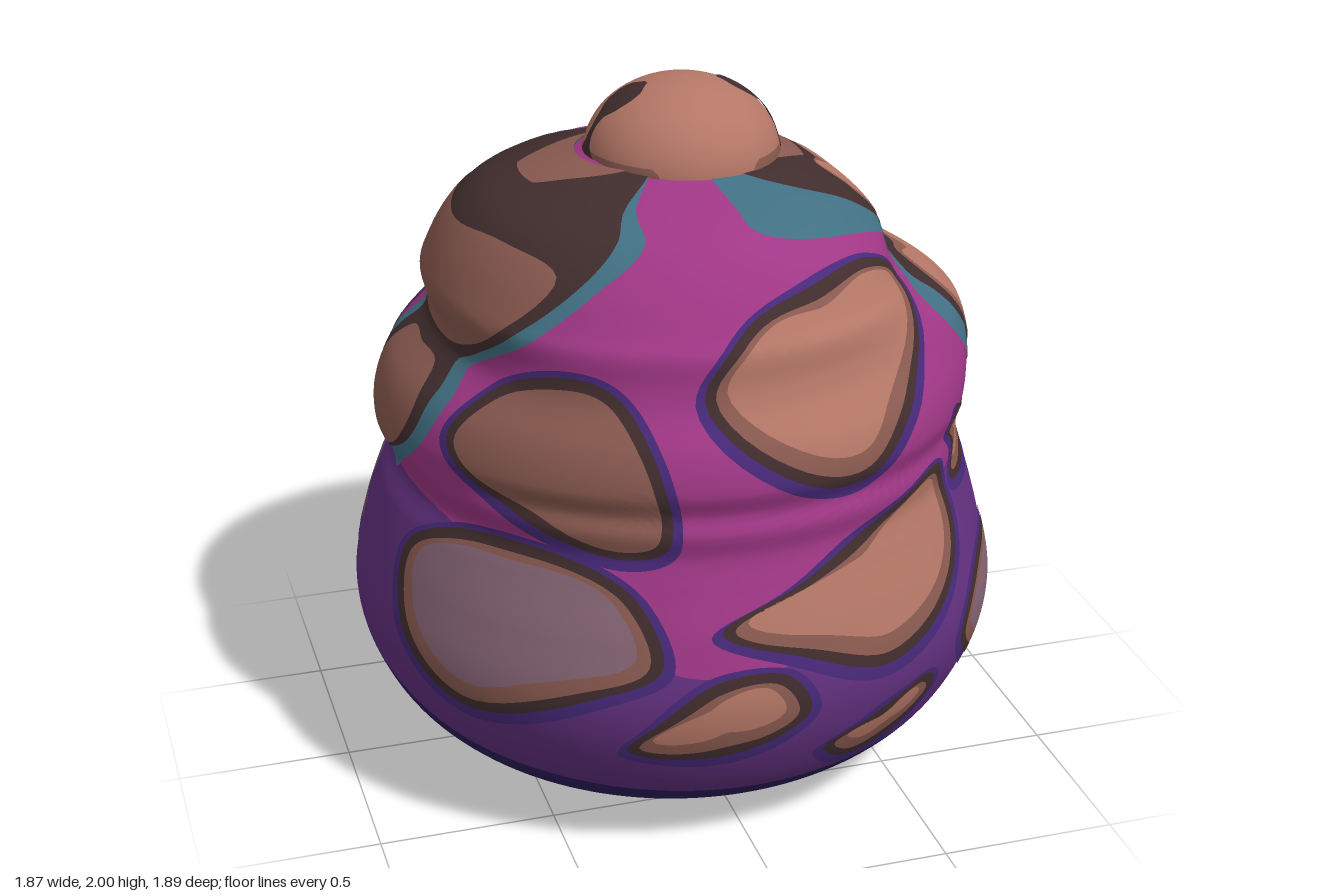
import * as THREE from 'three';

const colours = {
  tan: 0xb47766, brown: 0x8a5a50, darkBrown: 0x412d2e, mauve: 0x866575, magenta: 0xa03786,
  purple: 0x62307f, violet: 0x47297a, navy: 0x2a1d59, teal: 0x417083, darkTeal: 0x2c5056,
};
const RAD = Math.PI / 180;
const UNIT = 0.0148; // surface length of one degree, roughly

// Smooth interpolation through rows of [key, value, ...]
function lookup(rows, col = 1) {
  const slope = (i) => {
    const a = rows[Math.max(i - 1, 0)], b = rows[Math.min(i + 1, rows.length - 1)];
    return (b[col] - a[col]) / (b[0] - a[0]);
  };
  return (x) => {
    let i = 0;
    while (i < rows.length - 2 && x > rows[i + 1][0]) i++;
    const h = rows[i + 1][0] - rows[i][0];
    const t = THREE.MathUtils.clamp((x - rows[i][0]) / h, 0, 1), t2 = t * t, t3 = t2 * t;
    return (2 * t3 - 3 * t2 + 1) * rows[i][col] + (t3 - 2 * t2 + t) * h * slope(i)
      + (3 * t2 - 2 * t3) * rows[i + 1][col] + (t3 - t2) * h * slope(i + 1);
  };
}

// Body outline: height, then radius toward front/back, left (+x), right (-x)
const outline = [
  [0, 0.24, 0.24, 0.24], [0.02, 0.42, 0.42, 0.42], [0.06, 0.61, 0.61, 0.61], [0.18, 0.79, 0.79, 0.79],
  [0.35, 0.9, 0.9, 0.9], [0.52, 0.938, 0.935, 0.935], [0.7, 0.905, 0.9, 0.9], [0.85, 0.855, 0.86, 0.85],
  [0.93, 0.833, 0.83, 0.81], [1.0, 0.842, 0.81, 0.83], [1.05, 0.826, 0.825, 0.85], [1.12, 0.845, 0.845, 0.845],
  [1.22, 0.82, 0.853, 0.8], [1.32, 0.76, 0.83, 0.69], [1.38, 0.74, 0.77, 0.68], [1.46, 0.73, 0.63, 0.7],
  [1.5, 0.7, 0.585, 0.695], [1.6, 0.63, 0.56, 0.65], [1.68, 0.55, 0.48, 0.59], [1.72, 0.48, 0.42, 0.53],
  [1.77, 0.34, 0.34, 0.38], [1.8, 0.22, 0.25, 0.25],
];
const [front, left, right] = [1, 2, 3].map((c) => lookup(outline, c));

// Surfaces: angle in degrees from +x toward +z, and height
function bodySurface(deg, y) {
  const c = Math.cos(deg * RAD), base = front(y);
  const r = base + ((c > 0 ? left(y) : right(y)) - base) * c ** 4;
  return new THREE.Vector3(r * c, y, r * Math.sin(deg * RAD));
}
function knobSurface(deg, y) {
  const r = 0.275 * Math.sqrt(Math.max(0, 1 - ((y - 1.78) / 0.22) ** 2));
  return new THREE.Vector3(0.03 + r * Math.cos(deg * RAD), y, r * Math.sin(deg * RAD));
}

// Grid laid on a surface; at(u, v) gives [angle, height]
function sheet(at, nu, nv, lift = 0, surface = bodySurface) {
  const pos = [], nor = [], idx = [], e = 0.002;
  for (let j = 0; j <= nv; j++) for (let i = 0; i <= nu; i++) {
    const [d, y] = at(i / nu, j / nv);
    const dy = surface(d, y + e).sub(surface(d, y - e));
    const n = dy.cross(surface(d + 0.2, y).sub(surface(d - 0.2, y))).normalize();
    pos.push(...surface(d, y).addScaledVector(n, lift).toArray());
    nor.push(...n.toArray());
    if (i < nu && j < nv) {
      const a = j * (nu + 1) + i, b = a + nu + 1;
      idx.push(a, b, a + 1, b, b + 1, a + 1);
    }
  }
  const g = new THREE.BufferGeometry();
  g.setAttribute('position', new THREE.Float32BufferAttribute(pos, 3));
  g.setAttribute('normal', new THREE.Float32BufferAttribute(nor, 3));
  return g.setIndex(idx);
}

export function createModel() {
  const model = new THREE.Group();
  model.name = 'spottedMound';
  const mats = {};
  for (const [name, color] of Object.entries(colours)) {
    mats[name] = new THREE.MeshStandardMaterial({ color, side: THREE.DoubleSide });
    mats[name].name = name;
  }
  const add = (name, geometry, mat, parent = model) => {
    const mesh = new THREE.Mesh(geometry, mats[mat]);
    mesh.name = name;
    parent.add(mesh);
  };

  // Body in wavy horizontal bands, open underneath
  const edges = [
    () => 0,
    lookup([[0, 0.1], [20, 0.06], [50, 0.03], [90, 0.015], [130, 0.03], [160, 0.06], [180, 0.1]]),
    lookup([[0, 0.25], [20, 0.16], [45, 0.12], [90, 0.09], [135, 0.12], [160, 0.16], [180, 0.25]]),
    lookup([[0, 0.42], [15, 0.33], [35, 0.26], [90, 0.2], [145, 0.26], [165, 0.33], [180, 0.42]]),
    lookup([[0, 1.05], [30, 0.98], [50, 0.9], [70, 0.7], [100, 0.62], [120, 0.72], [150, 0.9], [180, 0.95]]),
    () => 1.8,
  ];
  ['darkBrown', 'darkTeal', 'navy', 'purple', 'magenta'].forEach((mat, k) => {
    const at = (u, v) => {
      const d = u * 360 - 180, a = Math.abs(d);
      return [d, THREE.MathUtils.lerp(edges[k](a), edges[k + 1](a), v)];
    };
    add(mat + 'Band', sheet(at, 144, k < 3 ? 14 : 64), mat);
  });

  // Sashes: symmetric strips, rows of [height, half angle] from bottom to top
  const sash = (name, centre, rows, mat, lift, surface) => {
    const half = lookup(rows), y0 = rows[0][0], y1 = rows[rows.length - 1][0];
    const at = (u, v) => {
      const y = y0 + (y1 - y0) * v;
      return [centre + (2 * u - 1) * Math.max(0, half(y)), y];
    };
    add(name, sheet(at, 32, 60, lift, surface), mat);
  };
  sash('leftTealSash', 0, [[1.03, 0], [1.12, 14], [1.25, 25], [1.43, 32], [1.5, 26], [1.57, 26], [1.64, 45],
    [1.7, 78], [1.75, 82], [1.795, 84]], 'teal', 0.003);
  sash('leftDarkSash', 0, [[1.05, 0], [1.12, 10], [1.3, 20.5], [1.4, 23], [1.46, 25], [1.52, 16], [1.6, 21],
    [1.7, 36], [1.75, 50], [1.795, 68]], 'darkBrown', 0.005);
  sash('rightTealSash', 180, [[0.92, 0], [1.0, 9], [1.1, 19], [1.25, 24], [1.32, 23], [1.36, 28], [1.45, 41],
    [1.6, 56], [1.7, 66], [1.75, 60], [1.795, 60]], 'teal', 0.003);
  sash('rightDarkSash', 180, [[0.99, 0], [1.1, 15], [1.25, 19], [1.32, 18], [1.36, 24], [1.45, 36], [1.6, 51],
    [1.7, 58], [1.75, 56], [1.795, 60]], 'darkBrown', 0.005);
  for (const c of [0, 180]) sash('knobFootPatch', c, [[1.755, 12], [1.775, 24], [1.795, 45]], 'brown', 0.007);

  // Spots: closed outline of [angle, height] filled with nested rings
  const spot = (name, points, centre, { plain = false, shift = 0.015 } = {}) => {
    let pts = points.map(([d, y]) => new THREE.Vector3(d * UNIT, y, 0));
    const area = pts.reduce((s, p, i) => {
      const q = pts[(i + 1) % pts.length];
      return s + p.x * q.y - q.x * p.y;
    }, 0);
    if (area < 0) pts.reverse();
    const curve = new THREE.CatmullRomCurve3(pts, true);
    const mid = curve.getSpacedPoints(64).slice(1).reduce((s, p) => s.add(p), new THREE.Vector3()).divideScalar(64);
    const inset = (u, w, up) => {
      const v = curve.getPoint(u % 1).sub(mid), len = v.length();
      return v.multiplyScalar(Math.max(1 - w / len, 0.3)).add(mid).add(new THREE.Vector3(0, up, 0));
    };
    const group = new THREE.Group();
    group.name = name;
    const ring = (part, mat, w0, up0, w1, up1, nv, lift) => {
      const at = (u, v) => {
        const p = inset(u, w0, up0).lerp(w1 === null ? mid : inset(u, w1, up1), v);
        return [p.x / UNIT, p.y];
      };
      add(part, sheet(at, 64, nv, lift), mat, group);
    };
    if (!plain) {
      ring('halo', 'violet', -0.028, -0.01, 0.01, 0, 2, 0.003);
      ring('rim', 'darkBrown', 0, 0, 0.033, 0, 3, 0.005);
    }
    const start = plain ? 0 : 0.033;
    ring('edge', 'brown', start, 0, start + 0.035, shift, 3, plain ? 0.008 : 0.005);
    ring('centre', centre, start + 0.035, shift, null, 0, 12, plain ? 0.008 : 0.005);
    model.add(group);
  };

  // Spots repeated on the front and the back
  const paired = {
    upperSpot: ['tan', [[100, 1.35], [90, 1.52], [72, 1.585], [50, 1.595], [36, 1.51], [40, 1.42], [57, 1.2], [69, 1.09], [83, 1.13]]],
    sideSpot: ['brown', [[153, 1.17], [146, 1.31], [128, 1.39], [118, 1.36], [109, 1.2], [107, 0.97], [115, 0.93], [136, 1.02]]],
    largeLowSpot: ['mauve', [[161, 0.6], [164, 0.8], [150, 0.91], [127, 0.92], [113, 0.83], [108, 0.65], [119, 0.56], [145, 0.44]]],
    middleSpot: ['tan', [[98, 0.74], [83, 0.84], [61, 0.97], [44, 1.0], [41, 0.82], [49, 0.66], [67, 0.56], [84, 0.65]]],
    smallSpot: ['tan', [[114, 0.4], [109, 0.49], [99, 0.61], [87, 0.61], [83, 0.5], [89, 0.42], [102, 0.37]]],
    tinySpot: ['tan', [[79, 0.34], [71, 0.4], [57, 0.46], [54, 0.41], [63, 0.29], [74, 0.27]]],
    lowSideSpot: ['mauve', [[46, 0.5], [37, 0.64], [26, 0.68], [16, 0.65], [11, 0.5], [14, 0.36], [23, 0.31], [37, 0.36]]],
    bowSpot: ['tan', [[5, 1.02], [17, 1.055], [27, 1.08], [37, 1.135], [39, 1.07], [35, 1.0], [37, 0.91], [21, 0.9], [10, 0.96]]],
  };
  for (const [name, [mat, pts]] of Object.entries(paired)) {
    spot(name + 'Front', pts, mat);
    spot(name + 'Back', pts.map(([d, y]) => [-d, y]), mat);
  }

  // Spots inside the sashes, mirrored about their centre line
  const central = (name, centre, half, mat) => {
    const other = half.filter(([d]) => d > 0).reverse().map(([d, y]) => [-d, y]);
    spot(name, [...half, ...other].map(([d, y]) => [d + centre, y]), mat, { plain: true, shift: 0.01 });
  };
  central('heartSpot', 0, [[0, 1.44], [12, 1.45], [18.5, 1.39], [16, 1.23], [6, 1.125], [0, 1.11]], 'tan');
  central('neckSpot', 0, [[0, 1.72], [16, 1.73], [19, 1.66], [10, 1.55], [0, 1.515]], 'tan');
  central('shoulderSpot', 180, [[0, 1.65], [25, 1.66], [45, 1.61], [31, 1.44], [16, 1.36], [0, 1.345]], 'brown');
  central('hipSpot', 180, [[0, 1.29], [12, 1.28], [15, 1.19], [11, 1.08], [0, 1.03]], 'brown');

  // Rounded knob on top, with a keyhole mark on either side
  const knob = (u, v) => [u * 360, 1.76 + 0.24 * Math.sin(v * Math.PI / 2)];
  add('knob', sheet(knob, 64, 24, 0, knobSurface), 'tan');
  for (const c of [0, 180]) {
    sash('knobBase', c, [[1.77, 62], [1.8, 60], [1.815, 56]], 'brown', 0.002, knobSurface);
    sash('knobMark', c, [[1.78, 26], [1.8, 12], [1.84, 4], [1.9, 5], [1.93, 14], [1.97, 20], [1.985, 6]],
      'darkBrown', 0.004, knobSurface);
  }
  return model;
}
